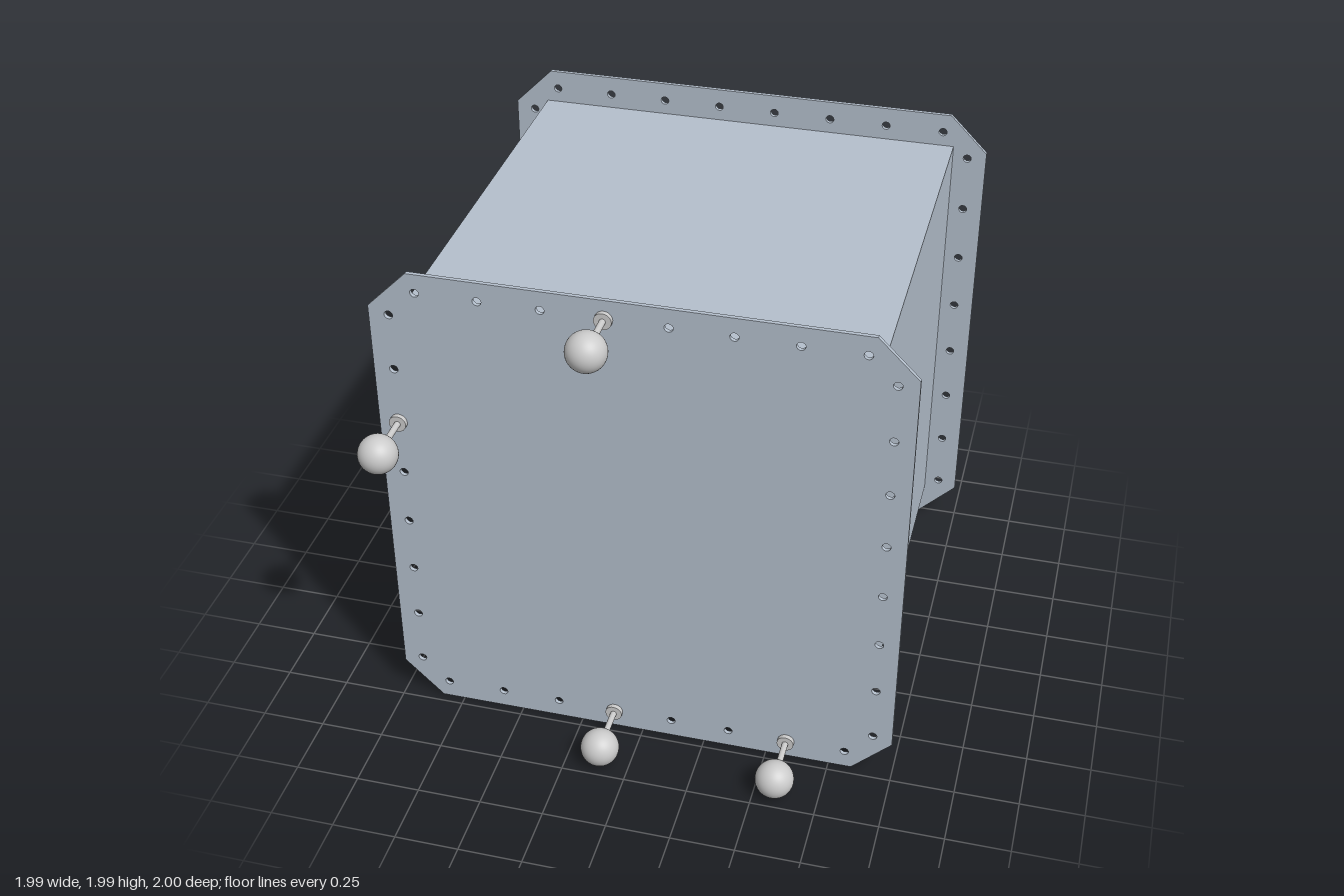
import * as THREE from 'three';

const HALF = 0.993, CHAMFER = 0.153, PLATE = 0.016;
const HOLE_OFFSET = 0.917, PITCH = 0.2317, HOLE_R = 0.0165;
const FRONT_Z = 0.714, BACK_Z = -1;

const panelMat = new THREE.MeshStandardMaterial({ color: 0xb4bfcc });
const greyMat = new THREE.MeshStandardMaterial({ color: 0xcccccc });

// position of the i-th hole along one edge
const along = (i) => (i - 3.5) * PITCH;

// square end plate with clipped corners and a row of bolt holes on each edge
function plateGeometry() {
  const a = HALF, b = HALF - CHAMFER;
  const shape = new THREE.Shape([
    [-b, -a], [b, -a], [a, -b], [a, b], [b, a], [-b, a], [-a, b], [-a, -b],
  ].map(([x, y]) => new THREE.Vector2(x, y)));
  for (let i = 0; i < 8; i++) {
    for (const s of [-1, 1]) {
      for (const [x, y] of [[along(i), s * HOLE_OFFSET], [s * HOLE_OFFSET, along(i)]]) {
        shape.holes.push(new THREE.Path().absarc(x, y, HOLE_R, 0, Math.PI * 2, true));
      }
    }
  }
  return new THREE.ExtrudeGeometry(shape, { depth: PLATE, bevelEnabled: false, curveSegments: 8 });
}

// round part lying along z between two depths
function rod(name, radius, z0, z1, sides = 24) {
  const geo = new THREE.CylinderGeometry(radius, radius, z1 - z0, sides).rotateX(Math.PI / 2);
  const mesh = new THREE.Mesh(geo, greyMat);
  mesh.position.z = (z0 + z1) / 2;
  mesh.name = name;
  return mesh;
}

// ball knob on a threaded stud, clamped through the front plate
function knob(x, y) {
  const group = new THREE.Group();
  group.name = 'ballKnob';
  const ball = new THREE.Mesh(new THREE.SphereGeometry(0.075, 40, 28), greyMat);
  ball.name = 'ball';
  ball.position.z = 0.925;
  group.add(
    ball,
    rod('stud', 0.012, 0.672, 0.9),
    rod('frontWasher', 0.033, FRONT_Z, FRONT_Z + 0.018),
    rod('backNut', 0.028, FRONT_Z - PLATE - 0.016, FRONT_Z - PLATE, 24),
    rod('nutTip', 0.018, 0.674, FRONT_Z - PLATE - 0.016),
  );
  group.position.set(x, y, 0);
  return group;
}

export function createModel() {
  const model = new THREE.Group();
  model.name = 'platedBox';

  // body between the plates
  const z0 = BACK_Z + PLATE, z1 = FRONT_Z - PLATE;
  const body = new THREE.Mesh(new THREE.BoxGeometry(1.716, 1.716, z1 - z0), panelMat);
  body.name = 'body';
  body.position.set(0, HALF, (z0 + z1) / 2);
  model.add(body);

  // end plates
  const geo = plateGeometry();
  for (const [name, z] of [['frontPlate', z1], ['backPlate', BACK_Z]]) {
    const plate = new THREE.Mesh(geo, panelMat);
    plate.name = name;
    plate.position.set(0, HALF, z);
    model.add(plate);
  }

  // knobs sit in four of the front plate's holes
  const spots = [
    [along(3), HOLE_OFFSET], [-HOLE_OFFSET, along(5)],
    [along(3), -HOLE_OFFSET], [along(6), -HOLE_OFFSET],
  ];
  for (const [x, y] of spots) model.add(knob(x, HALF + y));

  return model;
}
